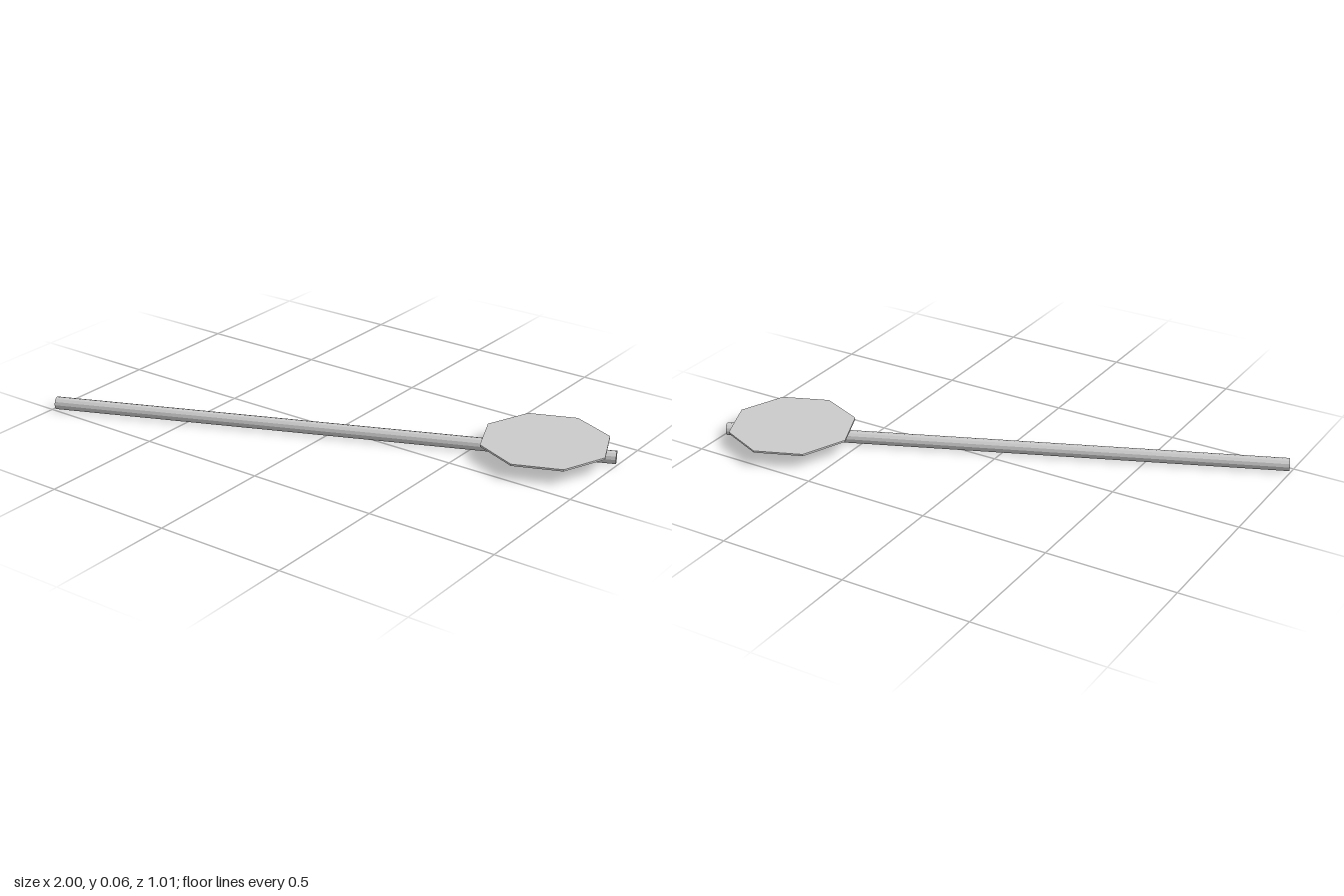
import * as THREE from 'three';

export function createModel() {
  const model = new THREE.Group();
  const material = new THREE.MeshStandardMaterial({ color: 0xcccccc, flatShading: true });

  // Pole lying on the ground, running diagonally from back left to front right
  const radius = 0.0245;
  const start = new THREE.Vector3(-0.99, radius, 0.482);
  const end = new THREE.Vector3(0.99, radius, -0.353);
  const direction = end.clone().sub(start);
  const poleGeometry = new THREE.CylinderGeometry(radius, radius, direction.length(), 12);
  poleGeometry.rotateX(Math.PI / 2); // length along z, with a corner on each side
  const pole = new THREE.Mesh(poleGeometry, material);
  pole.name = 'pole';
  pole.position.copy(start).lerp(end, 0.5);
  pole.rotation.y = Math.atan2(direction.x, direction.z);
  model.add(pole);

  // Thin octagonal sign plate just above the pole, very slightly skewed
  const plateGeometry = new THREE.CylinderGeometry(0.247, 0.247, 0.007, 8);
  const skew = 0.013;
  plateGeometry.applyMatrix4(new THREE.Matrix4().set(
    1, 0, skew, 0,
    0, 1, 0, 0,
    skew, 0, 1, 0,
    0, 0, 0, 1
  ));
  const plate = new THREE.Mesh(plateGeometry, material);
  plate.name = 'signPlate';
  plate.position.set(0.748, 0.0585, -0.257);
  model.add(plate);

  return model;
}
